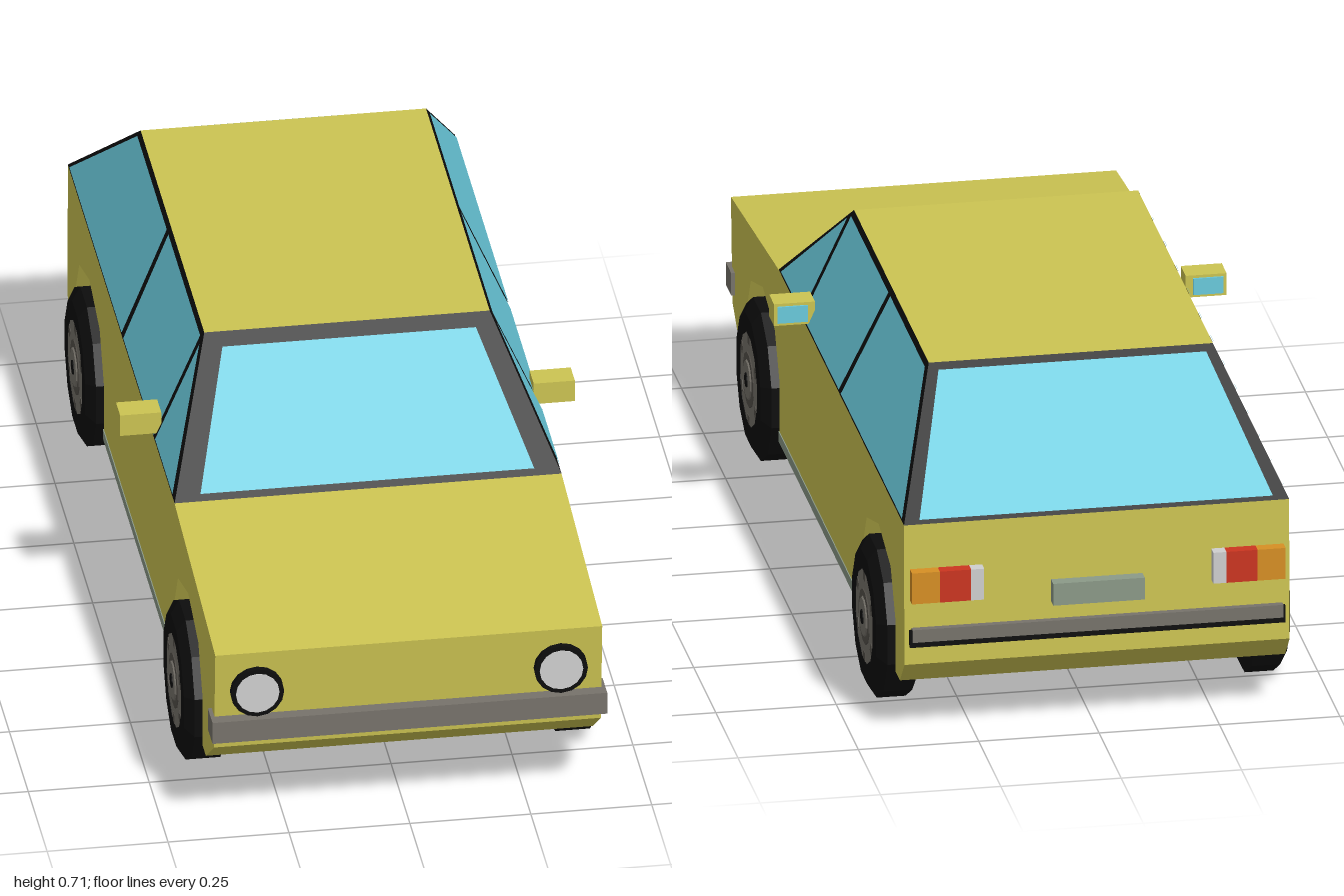
import * as THREE from 'three';

export function createModel() {
  const car = new THREE.Group();
  car.name = 'hatchbackCar';
  const mat = (name, color, side = THREE.FrontSide) => {
    const m = new THREE.MeshStandardMaterial({ color, side, flatShading: true });
    m.name = name;
    return m;
  };
  const yellow = mat('yellowPaint', 0xccc452);
  const black = mat('blackTrim', 0x0d0d0d);
  const glass = mat('blueGlass', 0x6acadc, THREE.DoubleSide);
  const grey = mat('bumperGrey', 0x77736b);
  const sage = mat('sageGrey', 0x8b9a88);
  const white = mat('lampWhite', 0xcfcfcf);
  const red = mat('lampRed', 0xcc3520);
  const orange = mat('lampOrange', 0xd68f24);
  const darkGrey = mat('hubDark', 0x55514b);

  const add = (name, geo, material, parent = car) => {
    const m = new THREE.Mesh(geo, material);
    m.name = name;
    parent.add(m);
    return m;
  };
  // Box given by its min and max on each axis
  const box = (name, material, x0, x1, y0, y1, z0, z1) => {
    const m = add(name, new THREE.BoxGeometry(Math.abs(x1 - x0), y1 - y0, z1 - z0), material);
    m.position.set((x0 + x1) / 2, (y0 + y1) / 2, (z0 + z1) / 2);
    return m;
  };
  // Side profile of (z, y) points extruded from x0 to x1
  const slab = (name, pts, x0, x1) => {
    const shape = new THREE.Shape(pts.map(p => new THREE.Vector2(p[0], p[1])));
    const geo = new THREE.ExtrudeGeometry(shape, { depth: x1 - x0, bevelEnabled: false });
    geo.rotateY(-Math.PI / 2).translate(x1, 0, 0);
    return add(name, geo, yellow);
  };
  // Flat convex pane from 3D corner points
  const pane = (name, pts) => {
    const pos = [];
    for (let i = 1; i < pts.length - 1; i++) pos.push(...pts[0], ...pts[i], ...pts[i + 1]);
    const geo = new THREE.BufferGeometry();
    geo.setAttribute('position', new THREE.Float32BufferAttribute(pos, 3));
    geo.computeVertexNormals();
    return add(name, geo, glass);
  };

  // Lower body: full core, and outer sides with wheel arches cut out
  const axles = [0.625, -0.685];
  const upper = [[0.86, 0.115], [0.968, 0.195], [0.985, 0.42], [0.44, 0.475],
    [-0.97, 0.475], [-0.978, 0.17], [-0.925, 0.115]];
  const arch = z => [[-0.19, 0.115], [-0.19, 0.23], [-0.135, 0.325], [0, 0.365],
    [0.135, 0.325], [0.19, 0.23], [0.19, 0.115]].map(([dz, y]) => [z + dz, y]);
  slab('bodyCore', upper, -0.3, 0.3);
  const sideProfile = [...upper, ...arch(axles[1]), ...arch(axles[0])];
  slab('bodySideLeft', sideProfile, 0.3, 0.4);
  slab('bodySideRight', sideProfile, -0.4, -0.3);

  // Cabin: a box tapered to the roof, black frame with painted roof
  const y0 = 0.475, y1 = 0.71;
  const cabinGeo = new THREE.BoxGeometry(2, 2, 2);
  const p = cabinGeo.attributes.position;
  for (let i = 0; i < p.count; i++) {
    const top = p.getY(i) > 0, front = p.getZ(i) > 0;
    p.setXYZ(i, p.getX(i) * (top ? 0.295 : 0.4), top ? y1 : y0,
      front ? (top ? 0.165 : 0.445) : (top ? -0.68 : -0.972));
  }
  cabinGeo.computeVertexNormals();
  add('cabin', cabinGeo, [black, black, yellow, black, black, black]);

  // Windscreen and rear window
  const rise = y => (y - y0) / (y1 - y0);
  const screen = (name, rows, zAt) => {
    const [[xb, yb], [xt, yt]] = rows;
    pane(name, [[-xb, yb], [xb, yb], [xt, yt], [-xt, yt]].map(([x, y]) => [x, y, zAt(rise(y))]));
  };
  screen('windscreen', [[0.345, 0.487], [0.262, 0.69]], t => 0.45 - t * 0.28);
  screen('rearWindow', [[0.367, 0.483], [0.278, 0.7]], t => -0.977 + t * 0.292);

  // Side windows as (z, y) outlines on the sloping flanks
  const sideWindows = {
    quarterWindow: [[0.418, 0.481], [0.187, 0.481], [0.176, 0.69]],
    frontDoorWindow: [[0.17, 0.481], [-0.235, 0.481], [-0.264, 0.7], [0.158, 0.7]],
    rearSideWindow: [[-0.258, 0.481], [-0.95, 0.481], [-0.676, 0.7], [-0.285, 0.7]],
  };

  // Wheel parts, built around the x axis
  const ring = (r0, r1, w) => new THREE.CylinderGeometry(r1, r0, w, 12)
    .rotateY(Math.PI / 12).rotateZ(-Math.PI / 2);
  const tyreGeo = new THREE.LatheGeometry(
    [[0, -0.048], [0.13, -0.048], [0.169, -0.03], [0.169, 0.03], [0.14, 0.048], [0.1, 0.048], [0.096, 0.036], [0, 0.036]]
      .map(([r, h]) => new THREE.Vector2(r, h)), 12)
    .rotateY(Math.PI / 12).rotateZ(-Math.PI / 2);

  for (const s of [1, -1]) {
    const tag = s > 0 ? 'Left' : 'Right';
    for (const [name, pts] of Object.entries(sideWindows))
      pane(name + tag, pts.map(([z, y]) => [s * (0.403 - rise(y) * 0.105), y, z]));

    // Wheels
    axles.forEach((z, i) => {
      const wheel = new THREE.Group();
      wheel.name = (i ? 'rearWheel' : 'frontWheel') + tag;
      add('tyre', tyreGeo, black, wheel);
      add('rim', ring(0.105, 0.1, 0.01), grey, wheel).position.x = 0.042;
      add('rimDish', ring(0.062, 0.058, 0.006), darkGrey, wheel).position.x = 0.046;
      add('hub', ring(0.045, 0.04, 0.006), grey, wheel).position.x = 0.049;
      add('hubCap', ring(0.017, 0.015, 0.006), black, wheel).position.x = 0.051;
      for (let k = 0; k < 6; k++) {
        const a = k * Math.PI / 3;
        const slot = add('rimSlot', new THREE.BoxGeometry(0.004, 0.02, 0.022), darkGrey, wheel);
        slot.position.set(0.046, Math.cos(a) * 0.088, Math.sin(a) * 0.088);
        slot.rotation.x = a;
      }
      wheel.position.set(s * 0.382, 0.163, z);
      wheel.rotation.y = s > 0 ? 0 : Math.PI;
      car.add(wheel);
    });

    // Headlights
    const disc = (name, r, depth, z, m) => {
      const lamp = add(name, new THREE.CylinderGeometry(r, r, depth, 16).rotateX(Math.PI / 2), m);
      lamp.position.set(s * 0.314, 0.331, z);
    };
    disc('headlightRim' + tag, 0.055, 0.03, 0.98, black);
    disc('headlight' + tag, 0.045, 0.03, 0.982, white);

    // Tail lights
    box('indicator' + tag, orange, s * 0.33, s * 0.388, 0.31, 0.378, -0.997, -0.96);
    box('brakeLight' + tag, red, s * 0.265, s * 0.33, 0.31, 0.378, -0.997, -0.96);
    box('reverseLight' + tag, white, s * 0.238, s * 0.265, 0.31, 0.378, -0.997, -0.96);

    // Door mirrors and sills
    box('mirror' + tag, yellow, s * 0.385, s * 0.47, 0.486, 0.534, 0.117, 0.172);
    box('mirrorGlass' + tag, glass, s * 0.4, s * 0.463, 0.492, 0.528, 0.113, 0.118);
    box('sill' + tag, sage, s * 0.36, s * 0.402, 0.1, 0.122, -0.495, 0.437);
  }

  // Bumpers and number plate panel
  box('frontBumper', grey, -0.408, 0.408, 0.222, 0.271, 0.938, 1);
  box('rearBumper', grey, -0.385, 0.385, 0.222, 0.25, -0.99, -0.96);
  box('rearBumperTrim', black, -0.39, 0.39, 0.21, 0.246, -0.987, -0.96);
  box('platePanel', sage, -0.095, 0.095, 0.287, 0.335, -1, -0.96);

  return car;
}
